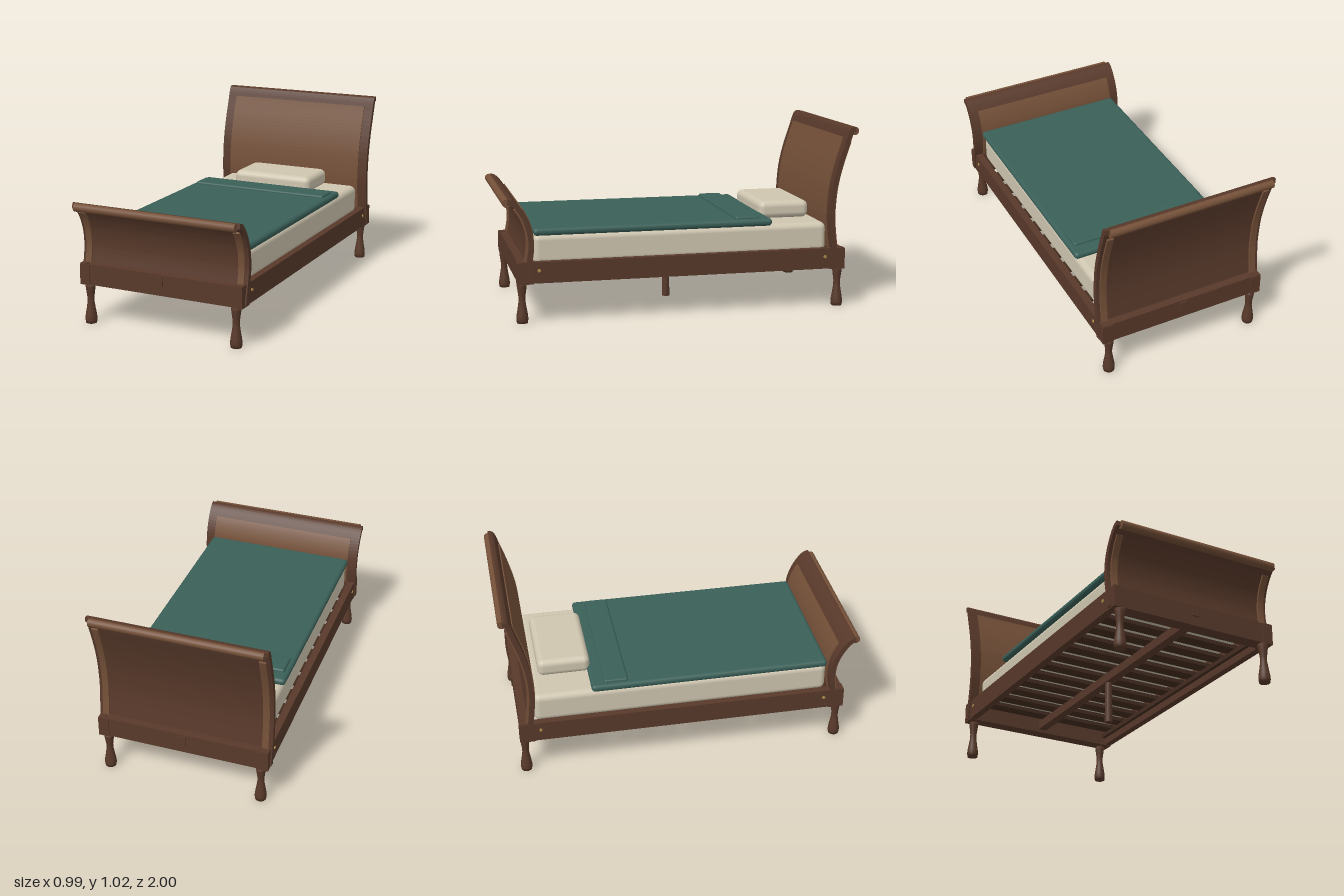
import * as THREE from 'three';
import { RoundedBoxGeometry } from 'three/addons/geometries/RoundedBoxGeometry.js';

const mat = (color) => new THREE.MeshStandardMaterial({ color });
const wood = mat(0x58392a);
const darkWood = mat(0x432c20);
const panelWood = mat(0x745038);
const linen = mat(0xcfc6b0);
const green = mat(0x3a5f58);
const brass = mat(0xb08d4a);

function add(parent, name, geometry, material, x = 0, y = 0, z = 0) {
  const mesh = new THREE.Mesh(geometry, material);
  mesh.name = name;
  mesh.position.set(x, y, z);
  parent.add(mesh);
  return mesh;
}

// Box given by its limits on each axis
function box(parent, name, material, [x0, x1], [y0, y1], [z0, z1]) {
  const g = new THREE.BoxGeometry(x1 - x0, y1 - y0, z1 - z0);
  return add(parent, name, g, material, (x0 + x1) / 2, (y0 + y1) / 2, (z0 + z1) / 2);
}

// Rounded cushion given by its limits on each axis
function cushion(parent, name, material, [x0, x1], [y0, y1], [z0, z1], r) {
  const g = new RoundedBoxGeometry(x1 - x0, y1 - y0, z1 - z0, 4, r);
  return add(parent, name, g, material, (x0 + x1) / 2, (y0 + y1) / 2, (z0 + z1) / 2);
}

// Bent plank: follows a (z, y) curve between two heights, offset d0..d1 outward
function bentPlank(curve, y0, y1, d0, d1, width) {
  const inner = [], outer = [];
  const pts = curve.getPoints(240).filter((p) => p.y >= y0 && p.y <= y1);
  const n = 28;
  for (let i = 0; i <= n; i++) {
    const k = Math.round((i / n) * (pts.length - 1));
    const p = pts[k];
    const t = pts[Math.min(k + 1, pts.length - 1)].clone().sub(pts[Math.max(k - 1, 0)]).normalize();
    const normal = new THREE.Vector2(t.y, -t.x);
    inner.push(p.clone().addScaledVector(normal, d0));
    outer.push(p.clone().addScaledVector(normal, d1));
  }
  const shape = new THREE.Shape([...inner, ...outer.reverse()]);
  const g = new THREE.ExtrudeGeometry(shape, { depth: width, bevelEnabled: false });
  g.translate(0, 0, -width / 2);
  g.rotateY(-Math.PI / 2);
  return g;
}

// Curved end of the bed, built with its outside facing +z
function createEnd(name, profile, panelTop, trimTop, rollY) {
  const end = new THREE.Group();
  end.name = name;
  const curve = new THREE.SplineCurve(profile.map(([z, y]) => new THREE.Vector2(z, y)));

  add(end, 'curvedBoard', bentPlank(curve, 0, 2, -0.014, 0.014, 0.99), wood);
  add(end, 'innerPanel', bentPlank(curve, 0.34, panelTop, -0.02, -0.012, 0.88), panelWood);
  const roll = add(end, 'topRoll', new THREE.CylinderGeometry(0.023, 0.023, 0.95, 20), panelWood, 0, rollY, 0.977);
  roll.rotation.z = Math.PI / 2;

  // Lower rail with its centre block
  box(end, 'endRail', wood, [-0.44, 0.44], [0.222, 0.338], [0.845, 0.922]);
  box(end, 'centreBlock', wood, [-0.021, 0.021], [0.275, 0.327], [0.9, 0.93]);

  // Turned leg outline
  const legOutline = [[0, 0], [0.03, 0], [0.033, 0.02], [0.031, 0.045], [0.025, 0.08], [0.019, 0.12],
    [0.019, 0.145], [0.023, 0.175], [0.027, 0.205], [0.028, 0.225], [0, 0.225]];
  const legGeo = new THREE.LatheGeometry(legOutline.map(([r, y]) => new THREE.Vector2(r, y)), 20);

  for (const s of [-1, 1]) {
    add(end, 'edgeTrim', bentPlank(curve, 0.29, trimTop, 0.01, 0.025, 0.036), panelWood, s * 0.457);
    box(end, 'cornerBlock', wood, [s * 0.457 - 0.03, s * 0.457 + 0.03], [0.22, 0.336], [0.84, 0.928]);
    add(end, 'leg', legGeo, wood, s * 0.44, 0, 0.9);
  }
  return end;
}

export function createModel() {
  const bed = new THREE.Group();
  bed.name = 'bed';

  // Footboard and headboard
  bed.add(createEnd('footboard', [
    [0.885, 0.23], [0.868, 0.31], [0.853, 0.39], [0.85, 0.45], [0.86, 0.52],
    [0.885, 0.585], [0.918, 0.637], [0.948, 0.667], [0.972, 0.672],
  ], 0.62, 0.64, 0.664));
  const head = createEnd('headboard', [
    [0.88, 0.23], [0.863, 0.34], [0.85, 0.45], [0.846, 0.54], [0.855, 0.66], [0.872, 0.75],
    [0.897, 0.84], [0.927, 0.93], [0.945, 0.985], [0.957, 1.008], [0.975, 1.009],
  ], 0.96, 0.95, 1.0);
  head.rotation.y = Math.PI;
  bed.add(head);

  // Side rails, slat ledges and bolts
  for (const s of [-1, 1]) {
    box(bed, 'sideRail', wood, [s * 0.466 - 0.02, s * 0.466 + 0.02], [0.224, 0.34], [-0.925, 0.925]);
    box(bed, 'slatLedge', darkWood, [s * 0.437 - 0.012, s * 0.437 + 0.012], [0.265, 0.29], [-0.84, 0.84]);
    for (const z of [-0.81, 0.81]) {
      const bolt = add(bed, 'bolt', new THREE.CylinderGeometry(0.009, 0.009, 0.008, 16), brass, s * 0.487, 0.294, z);
      bolt.rotation.z = Math.PI / 2;
    }
  }

  // Slats, centre beam and centre leg
  const slats = 12;
  for (let i = 0; i < slats; i++) {
    const z = -0.76 + (1.52 * i) / (slats - 1);
    box(bed, 'slat', darkWood, [-0.447, 0.447], [0.29, 0.312], [z - 0.038, z + 0.038]);
  }
  box(bed, 'centreBeam', wood, [-0.025, 0.025], [0.24, 0.29], [-0.845, 0.845]);
  add(bed, 'centreLeg', new THREE.CylinderGeometry(0.02, 0.022, 0.25, 16), wood, 0, 0.125, 0);

  // Bedding
  cushion(bed, 'mattress', linen, [-0.434, 0.434], [0.312, 0.48], [-0.835, 0.832], 0.035);
  cushion(bed, 'blanket', green, [-0.446, 0.446], [0.474, 0.516], [-0.512, 0.832], 0.02);
  cushion(bed, 'blanketFold', green, [-0.42, 0.42], [0.505, 0.53], [-0.44, -0.305], 0.012);
  cushion(bed, 'pillow', linen, [-0.25, 0.25], [0.478, 0.578], [-0.79, -0.495], 0.035);

  return bed;
}
